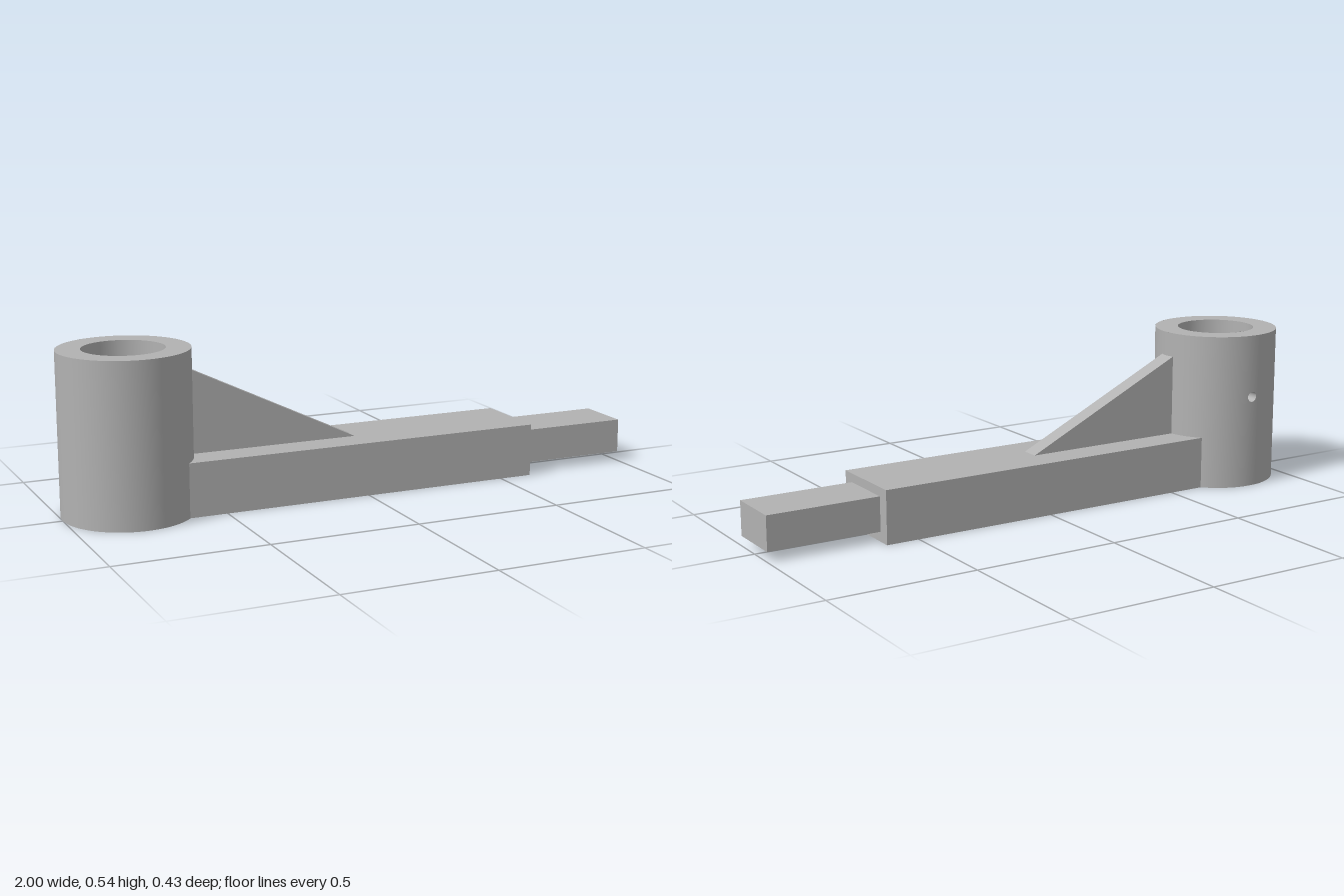
import * as THREE from 'three';
import { mergeGeometries } from 'three/addons/utils/BufferGeometryUtils.js';

const AXIS_X = -0.787, HEIGHT = 0.537, OUTER = 0.213, INNER = 0.133;
const FLOOR = 0.08, HOLE_Y = 0.32, HOLE_R = 0.018, STRIP = 0.026;

// Cylinder wall with a round hole at the back: a long arc plus a bent, pierced strip.
function piercedWall(radius, bottom, top) {
  const gap = Math.asin(STRIP / radius);
  const arc = new THREE.CylinderGeometry(radius, radius, top - bottom, 72, 1, true, Math.PI + gap, 2 * Math.PI - 2 * gap);
  arc.translate(0, (top + bottom) / 2, 0);

  const shape = new THREE.Shape();
  shape.moveTo(-STRIP, bottom).lineTo(STRIP, bottom).lineTo(STRIP, top).lineTo(-STRIP, top).closePath();
  shape.holes.push(new THREE.Path().absarc(0, HOLE_Y, HOLE_R, 0, Math.PI * 2, true));
  const strip = new THREE.ShapeGeometry(shape, 16);
  const p = strip.attributes.position, n = strip.attributes.normal;
  for (let i = 0; i < p.count; i++) {
    const x = -p.getX(i), z = -Math.sqrt(radius * radius - x * x);
    p.setXYZ(i, x, p.getY(i), z);
    n.setXYZ(i, x / radius, 0, z / radius);
  }
  return mergeGeometries([arc, strip]);
}

export function createModel() {
  const model = new THREE.Group();
  const metal = new THREE.MeshStandardMaterial({ color: 0xb2b2b2 });
  metal.name = 'grey metal';
  metal.side = THREE.DoubleSide;

  const add = (name, geometry, x = 0, y = 0, z = 0, parent = model) => {
    const mesh = new THREE.Mesh(geometry, metal);
    mesh.name = name;
    mesh.position.set(x, y, z);
    parent.add(mesh);
    return mesh;
  };
  const bar = (name, x0, x1, y0, y1, depth) =>
    add(name, new THREE.BoxGeometry(x1 - x0, y1 - y0, depth), (x0 + x1) / 2, (y0 + y1) / 2, 0);

  // Upright socket with a blind bore and a small cross hole
  const socket = new THREE.Group();
  socket.name = 'socket';
  socket.position.x = AXIS_X;
  model.add(socket);
  add('socketOuterWall', piercedWall(OUTER, 0, HEIGHT), 0, 0, 0, socket);
  add('socketBoreWall', piercedWall(INNER, FLOOR, HEIGHT), 0, 0, 0, socket);
  add('socketRim', new THREE.RingGeometry(INNER, OUTER, 72).rotateX(-Math.PI / 2), 0, HEIGHT, 0, socket);
  add('socketBase', new THREE.CircleGeometry(OUTER, 72).rotateX(Math.PI / 2), 0, 0, 0, socket);
  add('boreFloor', new THREE.CircleGeometry(INNER, 72).rotateX(-Math.PI / 2), 0, FLOOR, 0, socket);
  const wall = OUTER - INNER;
  add('crossHole', new THREE.CylinderGeometry(HOLE_R, HOLE_R, wall - 0.002, 32, 1, true).rotateX(Math.PI / 2),
    0, HOLE_Y, -(OUTER + INNER) / 2, socket);

  // Arm runs from the socket axis, ending in a smaller tongue
  bar('arm', AXIS_X, 0.614, 0, 0.179, 0.28);
  bar('tongue', 0.6, 1, 0.033, 0.149, 0.195);

  // Triangular rib bracing the socket against the arm
  const profile = new THREE.Shape();
  profile.moveTo(-0.6, 0.17).lineTo(0.014, 0.17).lineTo(-0.577, 0.455).lineTo(-0.6, 0.455).closePath();
  add('rib', new THREE.ExtrudeGeometry(profile, { depth: 0.062, bevelEnabled: false }), 0, 0, -0.031);

  return model;
}
